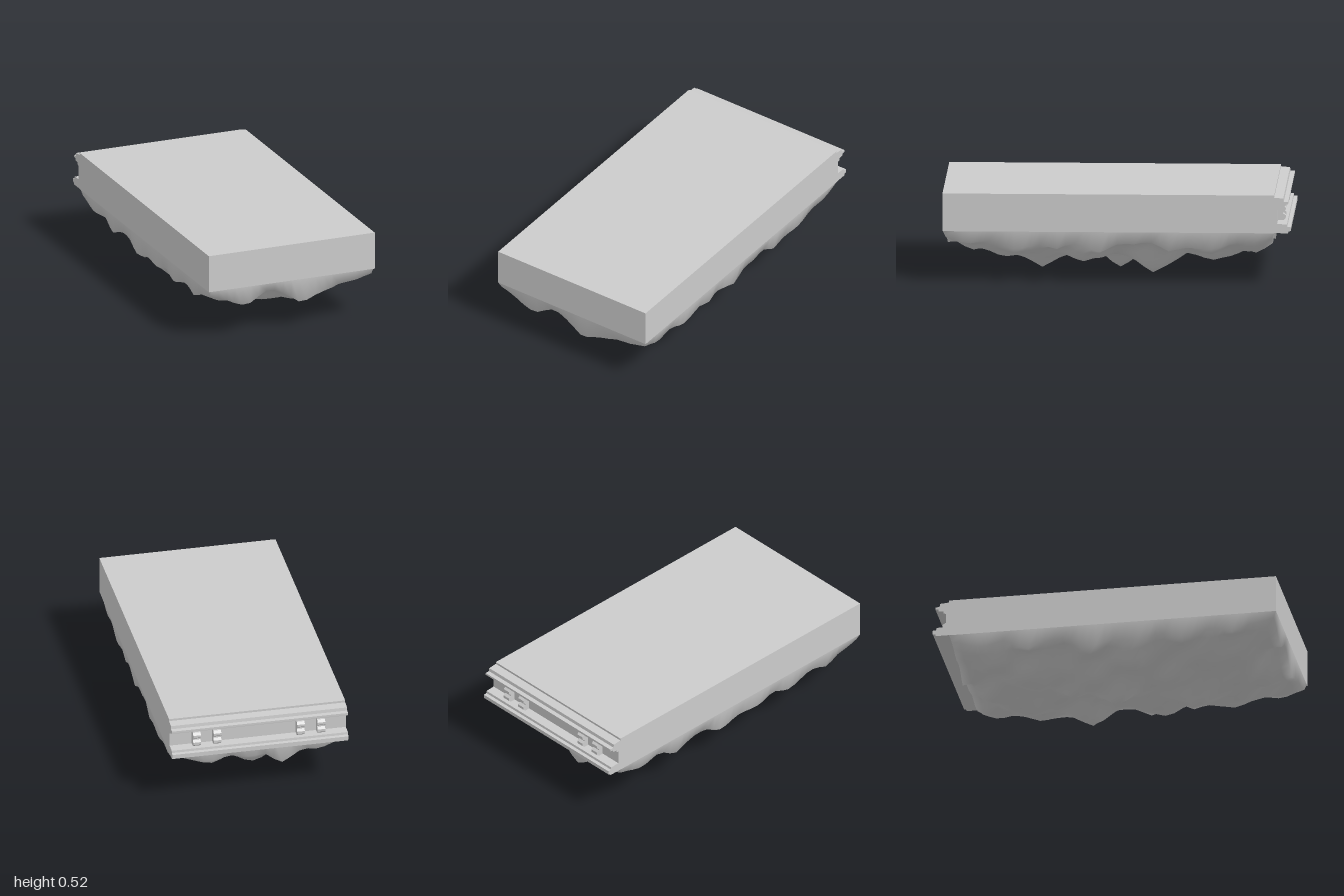
import * as THREE from 'three';

const W = 1.034, BACK = -0.905, FRONT = 1, SEAM = 0.3, TOP = 0.52;

// Rock peaks: x, z, lowest y, radius
const PEAKS = [
  [-0.05, 0.0, 0.0, 0.14], [0.1, 0.44, 0.022, 0.14], [0.25, -0.2, 0.022, 0.12],
  [-0.35, 0.15, 0.078, 0.13], [-0.2, -0.44, 0.068, 0.14], [0.15, -0.54, 0.078, 0.14],
  [0.0, -0.74, 0.1, 0.13], [0.0, 0.69, 0.1, 0.13], [-0.25, 0.59, 0.1, 0.13],
  [0.1, 0.84, 0.12, 0.12], [-0.15, 0.34, 0.07, 0.11], [0.35, 0.2, 0.1, 0.13],
  [-0.1, -0.25, 0.04, 0.12], [0.4, -0.54, 0.155, 0.11], [-0.45, -0.1, 0.14, 0.11],
  [0.42, 0.59, 0.155, 0.11], [-0.46, 0.44, 0.17, 0.1], [-0.35, -0.69, 0.13, 0.12],
  [0.25, 0.64, 0.11, 0.12], [0.25, -0.79, 0.14, 0.11], [-0.15, -0.87, 0.14, 0.1],
  [0.07, 0.97, 0.15, 0.11], [-0.28, 0.98, 0.185, 0.1], [0.2, 0.97, 0.2, 0.1],
  [-0.49, 0.75, 0.19, 0.09], [0.49, 0.1, 0.175, 0.1], [0.49, -0.3, 0.185, 0.09],
  [-0.49, -0.45, 0.18, 0.1], [0.47, 0.34, 0.18, 0.08], [-0.47, 0.2, 0.18, 0.08]
];

// Height of the rocky underside: shallow at the rim and corners, deep in the middle
function rockHeight(x, z) {
  const dx = W / 2 - Math.abs(x), dz = Math.min(FRONT - z, z - BACK);
  const d = Math.min(dx, dz);
  if (d < 1e-4) return SEAM;
  const corner = Math.exp(-Math.hypot(dx, dz) / 0.12);
  const wave = Math.sin(11 * x + 5 * z + 1) * Math.cos(9 * z - 4 * x)
    + 0.7 * Math.sin(23 * z + 8 * x) * Math.cos(19 * x + 3 * z);
  const base = 0.25 + 0.03 * corner - 0.105 * THREE.MathUtils.smoothstep(d, -0.03, 0.3)
    + 0.024 * (1 - corner) * wave;
  let y = base;
  for (const [px, pz, py, r] of PEAKS) {
    const g = Math.exp(-Math.pow(Math.hypot(x - px, z - pz) / r, 1.5));
    y = Math.min(y, base + (py - base) * g);
  }
  return Math.max(y, 0);
}

// Even grid positions with a narrow first and last step for the steep rim
function gridLine(min, max, n) {
  const inset = 0.015, out = [min];
  for (let i = 0; i <= n; i++) out.push(min + inset + (max - min - 2 * inset) * i / n);
  out.push(max);
  return out;
}

function rockGeometry() {
  const xs = gridLine(-W / 2, W / 2, 20), zs = gridLine(BACK, FRONT, 38);
  const pos = [], index = [], n = xs.length;
  for (const z of zs) for (const x of xs) pos.push(x, rockHeight(x, z), z);
  for (let j = 0; j < zs.length - 1; j++) {
    for (let i = 0; i < n - 1; i++) {
      const a = j * n + i, c = a + n;
      index.push(a, a + 1, c, a + 1, c + 1, c);
    }
  }
  const geo = new THREE.BufferGeometry();
  geo.setAttribute('position', new THREE.Float32BufferAttribute(pos, 3));
  geo.setIndex(index);
  geo.computeVertexNormals();
  return geo;
}

// Extrudes a side profile of [z, y] points along x
function alongX(points, width, x = 0) {
  const shape = new THREE.Shape(points.map(([z, y]) => new THREE.Vector2(-z, y)));
  const geo = new THREE.ExtrudeGeometry(shape, { depth: width, bevelEnabled: false });
  return geo.rotateY(Math.PI / 2).translate(x - width / 2, 0, 0);
}

export function createModel() {
  const group = new THREE.Group();
  const grey = new THREE.MeshStandardMaterial({ color: 0xcccccc });
  const add = (name, geo) => {
    const mesh = new THREE.Mesh(geo, grey);
    mesh.name = name;
    group.add(mesh);
  };

  // Smooth slab
  const slab = new THREE.BoxGeometry(W, TOP - SEAM, FRONT - BACK);
  add('slab', slab.translate(0, (TOP + SEAM) / 2, (FRONT + BACK) / 2));

  // Rocky underside
  add('rockUnderside', rockGeometry());

  // Stepped coupling rail across the back
  add('backRail', alongX([
    [-0.9, 0.301], [-0.985, 0.301], [-0.985, 0.31], [-1, 0.314], [-1, 0.336],
    [-0.98, 0.338], [-0.978, 0.352], [-0.922, 0.355], [-0.922, 0.437],
    [-0.938, 0.44], [-0.938, 0.452], [-0.965, 0.455], [-0.967, 0.468], [-0.985, 0.47],
    [-0.985, 0.482], [-0.96, 0.484], [-0.957, 0.503], [-0.9, 0.508]
  ], W));

  // Notched catches, two pairs in the rail's channel
  const catchProfile = [
    [-0.92, 0.354], [-0.952, 0.354], [-0.966, 0.366], [-0.966, 0.382], [-0.952, 0.394],
    [-0.952, 0.402], [-0.966, 0.413], [-0.966, 0.427], [-0.952, 0.44], [-0.92, 0.44]
  ];
  for (const side of [-1, 1]) {
    for (const x of [0.245, 0.365]) add('railCatch', alongX(catchProfile, 0.045, side * x));
  }
  return group;
}
